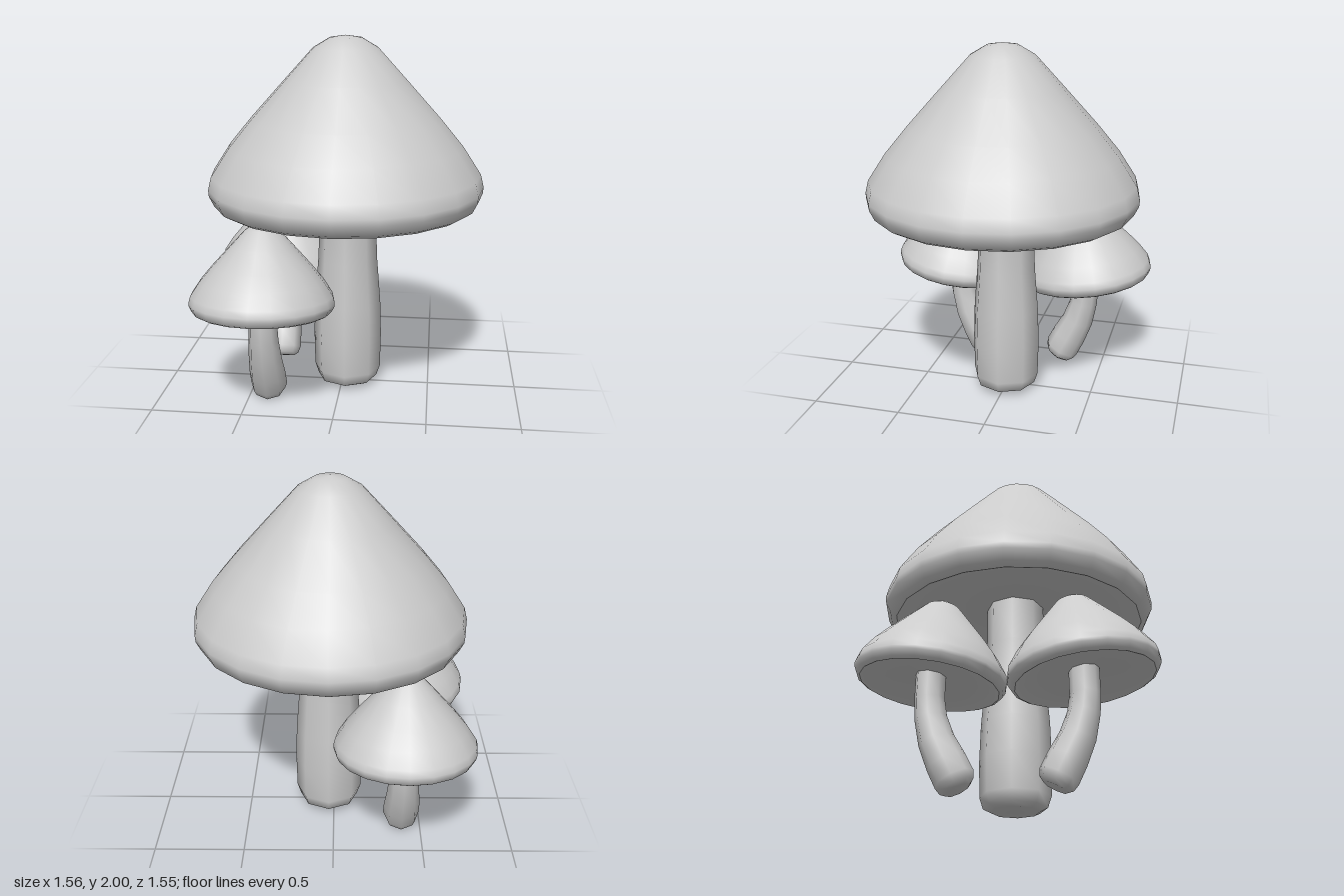
import * as THREE from 'three';
import { mergeVertices } from 'three/addons/utils/BufferGeometryUtils.js';

const material = new THREE.MeshStandardMaterial({ color: 0xcccccc });
const V = (x, y) => new THREE.Vector2(x, y);

// Cap measured from the centre of its base: hollow underside and domed outside
const UNDERSIDE = [[0, 0.12], [0.3, 0.11], [0.55, 0.065], [0.65, 0.02], [0.69, 0]];
const DOME = [[0.69, 0], [0.725, 0.02], [0.752, 0.075], [0.755, 0.11], [0.738, 0.18],
  [0.64, 0.33], [0.52, 0.475], [0.335, 0.68], [0.175, 0.855], [0.085, 0.908], [0, 0.92]];

function lathe(name, profile, sides) {
  const geometry = new THREE.LatheGeometry(profile.map(([r, y]) => V(r, y)), sides);
  const mesh = new THREE.Mesh(geometry, material);
  mesh.name = name;
  return mesh;
}

function makeCap(scale) {
  const cap = new THREE.Group();
  cap.name = 'cap';
  cap.add(lathe('capDome', DOME, 20), lathe('capUnderside', UNDERSIDE, 20));
  cap.scale.setScalar(scale);
  return cap;
}

// Stem from sections [y, z, radius, lean]; each ring is tilted by its lean
function makeStem(sections, sides = 8) {
  const geometry = new THREE.LatheGeometry(sections.map(([y, , r]) => V(r, y)), sides);
  const p = geometry.attributes.position;
  for (let i = 0; i < p.count; i++) {
    const [y, z, , lean] = sections[i % sections.length];
    const d = p.getZ(i);
    p.setY(i, y - d * Math.sin(lean));
    p.setZ(i, z + d * Math.cos(lean));
  }
  geometry.deleteAttribute('normal');
  geometry.deleteAttribute('uv');
  const welded = mergeVertices(geometry);
  welded.computeVertexNormals();
  const mesh = new THREE.Mesh(welded, material);
  mesh.name = 'stem';
  return mesh;
}

function makeLargeMushroom() {
  const group = new THREE.Group();
  group.name = 'largeMushroom';
  const cap = makeCap(1);
  cap.position.set(0.02, 1.08, 0.02);
  const stem = makeStem([
    [0.02, 0, 0, 0], [0.02, 0, 0.13, 0], [0.04, 0, 0.17, 0], [0.1, 0, 0.19, 0],
    [0.3, 0, 0.194, 0], [0.5, 0, 0.188, 0], [0.75, 0, 0.168, 0],
    [0.95, 0, 0.16, 0], [1.22, 0, 0.16, 0],
  ]);
  stem.position.x = 0.03;
  group.add(cap, stem);
  return group;
}

// Small mushroom with a curved stem and a cap tipped towards the large one
function makeSmallMushroom(name) {
  const group = new THREE.Group();
  group.name = name;
  const cap = makeCap(0.517);
  cap.position.set(0, 0.568, 0.393);
  cap.rotation.x = -0.12;
  const stem = makeStem([
    [0.03, 0.235, 0, 0.45], [0.03, 0.235, 0.065, 0.45], [0.048, 0.24, 0.09, 0.45],
    [0.085, 0.253, 0.103, 0.45], [0.17, 0.295, 0.102, 0.42], [0.28, 0.347, 0.092, 0.3],
    [0.4, 0.38, 0.082, 0.12], [0.5, 0.39, 0.078, 0], [0.63, 0.388, 0.078, -0.1],
  ]);
  group.add(cap, stem);
  group.position.x = -0.39;
  return group;
}

export function createModel() {
  const model = new THREE.Group();
  model.name = 'mushrooms';
  const front = makeSmallMushroom('frontSmallMushroom');
  const back = makeSmallMushroom('backSmallMushroom');
  back.rotation.y = Math.PI;
  model.add(makeLargeMushroom(), front, back);
  return model;
}
